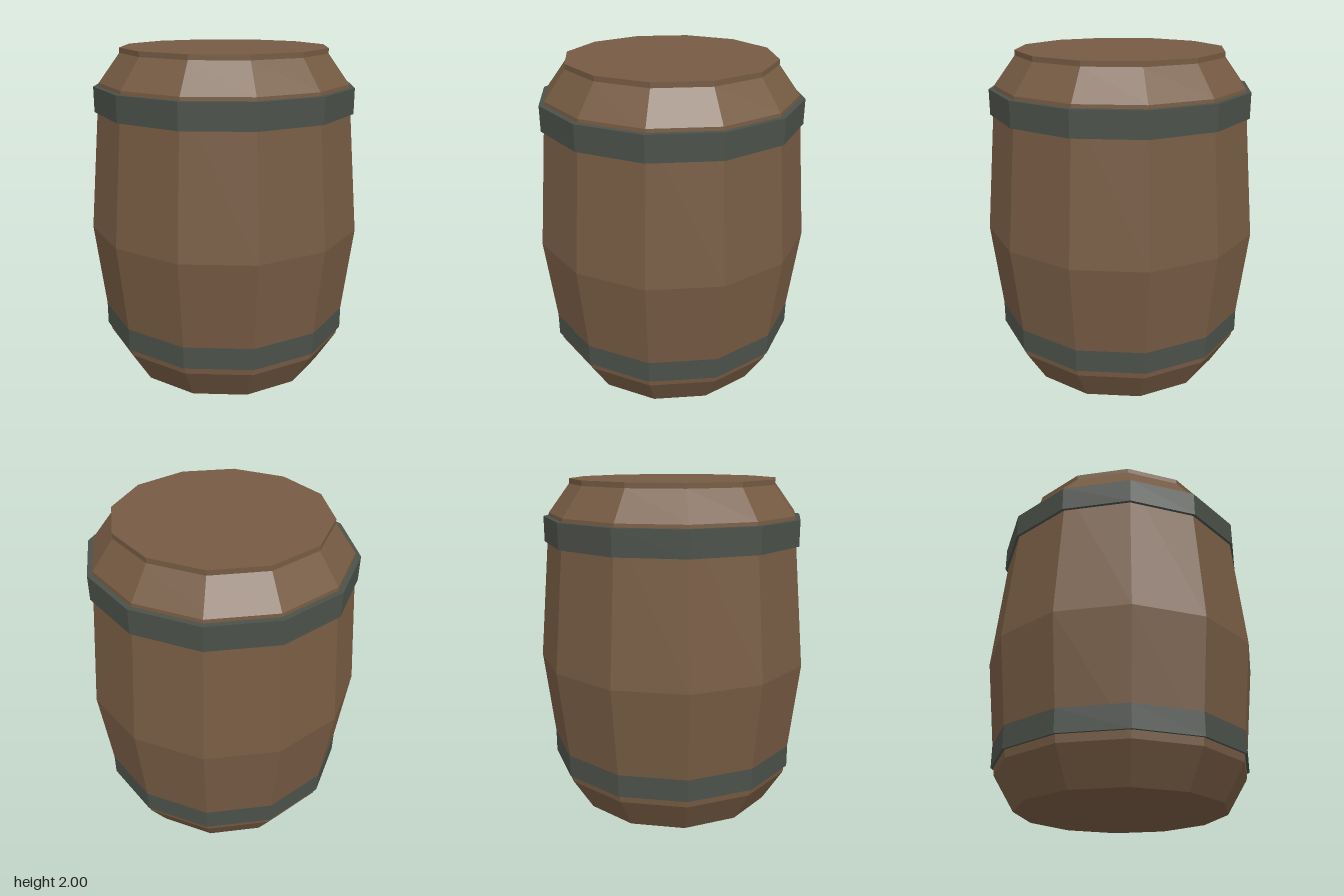
import * as THREE from 'three';

const SIDES = 12;

// Faceted solid of revolution from [radius, height] pairs, outer side running upward
function faceted(name, profile, material) {
  const points = profile.map(([r, y]) => new THREE.Vector2(r, y));
  const geometry = new THREE.LatheGeometry(points, SIDES).toNonIndexed();
  geometry.computeVertexNormals();
  const mesh = new THREE.Mesh(geometry, material);
  mesh.name = name;
  return mesh;
}

// Closed hoop with a rectangular section
function hoop(name, inner, outer, bottom, top, material) {
  return faceted(name, [
    [inner, bottom], [outer, bottom], [outer, top], [inner, top], [inner, bottom],
  ], material);
}

export function createModel() {
  const wood = new THREE.MeshStandardMaterial({ color: 0x765b43 });
  wood.name = 'brown wood';
  const iron = new THREE.MeshStandardMaterial({ color: 0x4b5049 });
  iron.name = 'dark iron';

  const barrel = new THREE.Group();
  barrel.name = 'barrel';

  // Bulging body with chamfered ends and a short rim under the flat lid
  barrel.add(faceted('barrelBody', [
    [0, 0], [0.625, 0], [0.752, 0.21], [0.833, 0.92],
    [0.752, 1.8], [0.625, 1.97], [0.625, 2], [0, 2],
  ], wood));

  // Iron hoops
  barrel.add(hoop('lowerHoop', 0.74, 0.773, 0.255, 0.39, iron));
  barrel.add(hoop('upperHoop', 0.74, 0.785, 1.63, 1.78, iron));

  return barrel;
}
